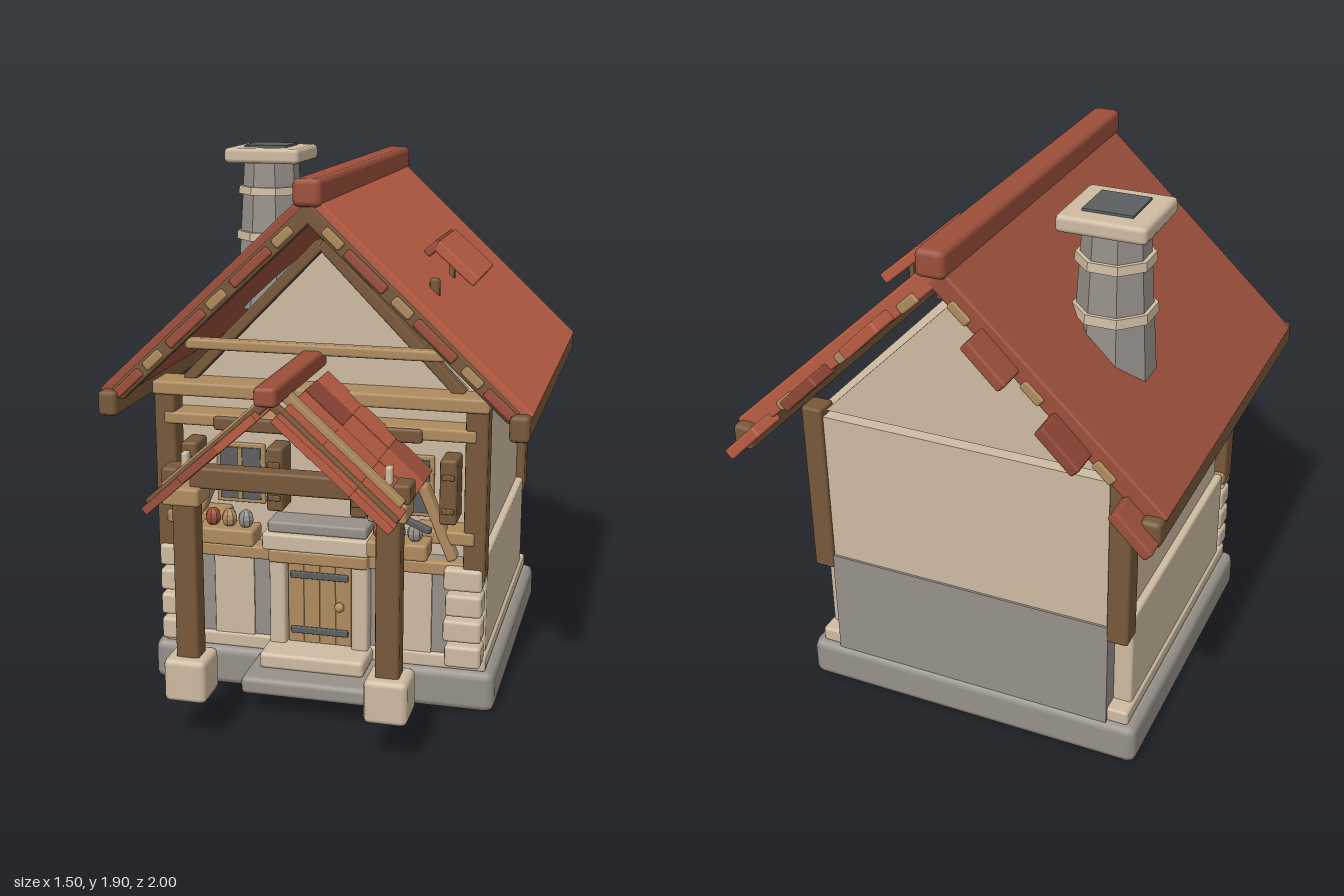
import * as THREE from 'three';
import { RoundedBoxGeometry } from 'three/addons/geometries/RoundedBoxGeometry.js';

const mat = (name, color) => Object.assign(new THREE.MeshStandardMaterial({ color }), { name });

export function createModel() {
  const root = new THREE.Group();
  root.name = 'cottage';
  const cream = mat('cream stone', 0xcebba2), gray = mat('gray stone', 0x969089);
  const red = mat('roof red', 0xba5d43), redMid = mat('tile red', 0x9c4f3b), redDark = mat('deep red', 0x8f4636);
  const brown = mat('dark timber', 0x775839), tan = mat('light timber', 0xae8b5e);
  const dark = mat('dark metal', 0x5c5f60);

  const add = (name, geo, m, x = 0, y = 0, z = 0) => {
    const mesh = new THREE.Mesh(geo, m);
    mesh.name = name;
    mesh.position.set(x, y, z);
    root.add(mesh);
    return mesh;
  };
  const rounded = (w, h, d, r) => new RoundedBoxGeometry(w, h, d, 1, Math.min(r, Math.min(w, h, d) * 0.3));
  // Box given by its limits on each axis
  const box = (name, m, x0, x1, y0, y1, z0, z1, r = 0.01) =>
    add(name, r ? rounded(x1 - x0, y1 - y0, z1 - z0, r) : new THREE.BoxGeometry(x1 - x0, y1 - y0, z1 - z0),
      m, (x0 + x1) / 2, (y0 + y1) / 2, (z0 + z1) / 2);
  // The same box on both sides
  const pair = (name, m, x0, x1, ...rest) => {
    box(name + 'Left', m, x0, x1, ...rest);
    box(name + 'Right', m, -x1, -x0, ...rest);
  };
  // Sloping board between two points in x and y
  const board = (name, m, x0, y0, x1, y1, t, z0, z1, r = 0.008) => {
    const w = Math.hypot(x1 - x0, y1 - y0);
    const b = add(name, rounded(w, t, z1 - z0, r), m, (x0 + x1) / 2, (y0 + y1) / 2, (z0 + z1) / 2);
    b.rotation.z = Math.atan2(y1 - y0, x1 - x0);
    return b;
  };
  const boards = (name, m, x0, y0, x1, y1, ...rest) => {
    board(name + 'Left', m, x0, y0, x1, y1, ...rest);
    board(name + 'Right', m, -x0, y0, -x1, y1, ...rest);
  };
  const facet = (geo) => {
    const g = geo.toNonIndexed();
    g.computeVertexNormals();
    return g;
  };

  // Foundation and steps
  box('foundation', gray, -0.63, 0.63, 0, 0.15, -0.775, 0.37, 0.03);
  box('lowerStep', gray, -0.23, 0.23, 0.08, 0.145, 0.3, 0.585, 0.02);
  box('upperStep', cream, -0.19, 0.19, 0.14, 0.2, 0.3, 0.49, 0.015);
  box('plinth', cream, -0.595, 0.595, 0.145, 0.2, -0.75, 0.345);

  // Lower stone walls
  box('lowerWall', gray, -0.52, 0.52, 0.14, 0.55, -0.76, 0.33, 0);
  pair('sidePanel', cream, 0.48, 0.585, 0.19, 0.553, -0.69, 0.285);
  pair('frontPanel', cream, 0.25, 0.4, 0.19, 0.5, 0.3, 0.338, 0.004);
  for (let i = 0; i < 4; i++) {
    const y = 0.178 + i * 0.0945;
    pair('cornerStone', cream, i % 2 ? 0.45 : 0.457, 0.585, y, y + 0.081, 0.31, 0.405, 0.013);
  }

  // Upper plaster walls, open at the top, with separate gables
  pair('upperSideWall', cream, 0.5, 0.558, 0.545, 1.11, -0.72, 0.27, 0);
  box('upperFrontWall', cream, -0.55, 0.55, 0.545, 1.11, 0.23, 0.29, 0);
  box('upperBackWall', cream, -0.52, 0.52, 0.545, 1.11, -0.752, -0.7, 0);
  const gable = new THREE.Shape([[-0.5, 1.14], [0.5, 1.14], [0, 1.64]].map(p => new THREE.Vector2(...p)));
  for (const z of [-0.752, 0.23])
    add('gable', new THREE.ExtrudeGeometry(gable, { depth: 0.05, bevelEnabled: false }), cream, 0, 0, z);

  // Timber frame
  pair('frontPost', brown, 0.515, 0.592, 0.495, 1.14, 0.3, 0.39);
  pair('backPost', brown, 0.515, 0.592, 0.495, 1.14, -0.765, -0.68);
  box('wallPlate', tan, -0.595, 0.595, 1.095, 1.145, 0.27, 0.4);
  box('upperRail', tan, -0.555, 0.555, 0.99, 1.035, 0.28, 0.395);
  box('middleRail', brown, -0.37, 0.37, 0.98, 1.03, 0.3, 0.405);
  pair('sillRail', tan, 0.34, 0.555, 0.625, 0.675, 0.28, 0.395);
  box('lowerRail', tan, -0.59, 0.59, 0.5, 0.55, 0.28, 0.365);
  box('collarTie', tan, -0.45, 0.45, 1.275, 1.312, 0.4, 0.45);
  boards('gableTrim', brown, 0, 1.635, 0.49, 1.135, 0.04, 0.27, 0.33);
  boards('wallBrace', tan, 0.37, 0.83, 0.48, 0.57, 0.035, 0.34, 0.4);

  // Main roof
  board('roofSlopeLeft', red, 0, 1.783, 0.73, 1.1, 0.07, -0.9, 0.485);
  board('roofSlopeRight', redMid, 0, 1.783, -0.73, 1.1, 0.07, -0.9, 0.485);
  box('roofRidge', redMid, -0.05, 0.05, 1.775, 1.867, -0.92, 0.51, 0.02);
  pair('eaveBeam', brown, 0.677, 0.745, 1.04, 1.128, -0.94, 0.53, 0.015);
  const under = (x) => 1.755 - x * 0.935;
  boards('vergeRafter', brown, -0.012, under(-0.012), 0.69, under(0.69), 0.055, 0.43, 0.492);
  // Projecting tiles with battens between them
  for (const [x, left, right] of [[0.205, red, redMid], [0.437, redDark, redDark], [0.67, red, redMid]]) {
    board('backTileLeft', left, x - 0.06, 1.835 - x, x + 0.06, 1.715 - x, 0.04, -1, -0.87);
    board('backTileRight', right, -x + 0.06, 1.835 - x, -x - 0.06, 1.715 - x, 0.04, -1, -0.87);
    boards('frontTile', redMid, x - 0.075, under(x - 0.075), x + 0.055, under(x + 0.055), 0.035, 0.45, 0.505);
    for (const [z0, z1] of [[-0.908, -0.88], [0.45, 0.5]])
      boards('batten', tan, x - 0.15, under(x - 0.15), x - 0.09, under(x - 0.09), 0.035, z0, z1);
  }

  // Small raised hatch and peg on the roof
  board('hatchSlope', red, 0.325, 1.592, 0.475, 1.46, 0.04, -0.375, -0.035);
  board('hatchBack', redMid, 0.29, 1.555, 0.335, 1.597, 0.03, -0.375, -0.035);
  board('hatchRafter', tan, 0.2, 1.465, 0.3, 1.56, 0.02, -0.34, -0.07);
  for (const z of [-0.34, -0.1])
    for (const x of [0.27, 0.37]) box('hatchPost', brown, x, x + 0.018, 1.41, 1.53, z, z + 0.03, 0);
  box('roofPeg', brown, 0.36, 0.395, 1.45, 1.52, 0.23, 0.262);

  // Chimney
  const ring = (name, m, r0, r1, y0, y1) => {
    const geo = new THREE.CylinderGeometry(r1, r0, y1 - y0, 8);
    geo.rotateY(Math.PI / 8);
    add(name, facet(geo), m, -0.4, (y0 + y1) / 2, -0.44);
  };
  ring('chimneyStack', gray, 0.142, 0.106, 1.27, 1.84);
  ring('chimneyBand', cream, 0.14, 0.137, 1.54, 1.572);
  ring('chimneyBand', cream, 0.13, 0.127, 1.715, 1.745);
  box('chimneyCap', cream, -0.548, -0.252, 1.838, 1.895, -0.588, -0.292, 0.016);
  box('chimneyOpening', dark, -0.483, -0.317, 1.885, 1.903, -0.523, -0.357, 0);

  // Porch roof: rows of mixed tiles on each slope
  const tiles = [red, redMid, red, redDark, redMid];
  const slope = (x) => 1.228 - x * 0.895;
  const cuts = [0.38, 0.525, 0.67, 1];
  for (const s of [-1, 1])
    for (let r = 0; r < 3; r++)
      for (let c = 0; c < 3; c++) {
        const a = 0.03 + r * 0.121, b = a + 0.123, lift = ((r + c) % 2) * 0.002;
        const m = c === 2 && s > 0 ? red : tiles[(r * 2 + c * 3 + (s > 0 ? 0 : 1)) % 5];
        board('porchTile', m, s * a, slope(a) + lift, s * b, slope(b) + lift, 0.028, cuts[c], cuts[c + 1], 0.002);
      }
  boards('porchRafter', tan, 0, 1.25, 0.39, 0.9, 0.035, 0.8, 0.845);
  boards('porchFrontRafter', brown, 0, 1.242, 0.4, 0.885, 0.03, 0.93, 0.957);
  box('porchRidge', redMid, -0.037, 0.037, 1.23, 1.292, 0.38, 0.992, 0.014);

  // Porch posts and beams
  pair('porchFooting', cream, 0.268, 0.415, 0.15, 0.302, 0.685, 0.837, 0.02);
  pair('porchPost', brown, 0.3, 0.38, 0.29, 0.86, 0.72, 0.8);
  pair('porchCapital', tan, 0.278, 0.405, 0.838, 0.9, 0.7, 0.825);
  pair('porchBracket', brown, 0.355, 0.412, 0.895, 0.96, 0.712, 0.805);
  pair('porchPeg', cream, 0.325, 0.35, 0.95, 1.01, 0.75, 0.785);
  box('porchTieBeam', brown, -0.32, 0.32, 0.893, 0.965, 0.725, 0.795);
  const hook = box('lanternHook', dark, 0.385, 0.49, 0.823, 0.843, 0.79, 0.81, 0.004);
  hook.rotation.set(0, -0.55, -0.12);

  // Door
  for (let i = 0; i < 4; i++)
    box('doorPlank', tan, -0.116 + i * 0.058, -0.058 + i * 0.058, 0.2, 0.505, 0.32, 0.36, 0.002);
  for (const y of [0.235, 0.445]) box('doorHinge', dark, -0.105, 0.105, y, y + 0.025, 0.35, 0.369, 0.004);
  add('doorKnob', new THREE.SphereGeometry(0.018, 10, 8), tan, 0.075, 0.35, 0.372);
  pair('doorJamb', cream, 0.12, 0.18, 0.19, 0.56, 0.31, 0.385);
  box('doorHeader', tan, -0.18, 0.18, 0.505, 0.555, 0.32, 0.395);
  box('doorLintel', cream, -0.195, 0.195, 0.56, 0.622, 0.28, 0.42);
  box('lintelCap', gray, -0.18, 0.18, 0.62, 0.662, 0.28, 0.4);

  // Windows, shutters and flower boxes
  pair('windowFrame', tan, 0.215, 0.395, 0.69, 0.91, 0.28, 0.302, 0.005);
  pair('windowGlass', dark, 0.23, 0.38, 0.705, 0.895, 0.3, 0.307, 0);
  pair('windowBar', tan, 0.297, 0.313, 0.705, 0.895, 0.3, 0.312, 0);
  for (const x of [0.15, 0.462]) {
    pair('shutter', brown, x - 0.03, x + 0.03, 0.7, 0.93, 0.29, 0.405);
    for (const y of [0.74, 0.86]) pair('shutterBatten', brown, x - 0.022, x + 0.022, y, y + 0.02, 0.39, 0.412, 0.004);
  }
  pair('flowerBox', tan, 0.2, 0.41, 0.595, 0.655, 0.39, 0.5);
  const blooms = [[-0.24, gray], [-0.3, tan], [-0.36, redMid], [0.24, red], [0.3, gray], [0.36, gray]];
  for (const [x, m] of blooms) {
    const bloom = add('bloom', facet(new THREE.SphereGeometry(0.028, 8, 6)), m, x, 0.682, 0.45);
    bloom.scale.y = 1.2;
  }
  return root;
}
